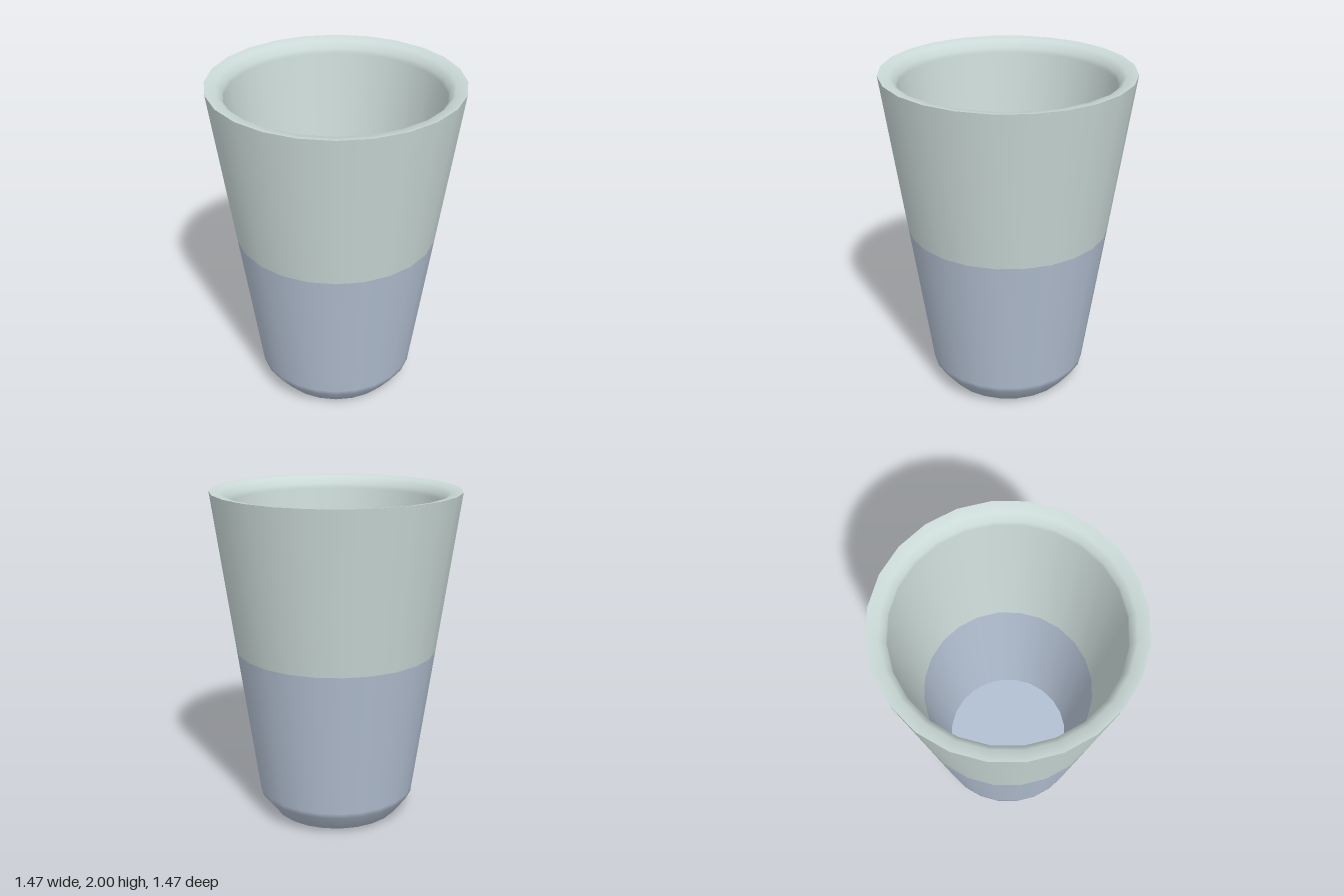
import * as THREE from 'three';

export function createModel() {
  const model = new THREE.Group();
  model.name = 'tumbler';
  const green = new THREE.MeshStandardMaterial({ name: 'pale sage', color: 0xcbdad7 });
  const blue = new THREE.MeshStandardMaterial({ name: 'pale slate blue', color: 0xb3c0d2 });

  // Each part is a 24-sided turned strip; separate strips keep sharp edges between them
  const turn = (name, material, profile) => {
    const points = profile.map(([r, y]) => new THREE.Vector2(r, y));
    const mesh = new THREE.Mesh(new THREE.LatheGeometry(points, 24), material);
    mesh.name = name;
    model.add(mesh);
  };

  const split = 1.05; // height of the colour change

  // Underside, rounded foot and lower outer wall
  turn('underside', blue, [[0, 0], [0.32, 0]]);
  turn('lowerOuterWall', blue, [[0.32, 0], [0.39, 0.02], [0.475, 0.13], [0.479, 0.16], [0.603, split]]);

  // Upper outer wall
  turn('upperOuterWall', green, [[0.603, split], [0.735, 2]]);

  // Rim rolling over into the upper inner wall
  turn('rimAndUpperInnerWall', green, [[0.735, 2], [0.67, 1.99], [0.635, 1.95], [0.631, 1.92], [0.51, split]]);

  // Lower inner wall and floor
  turn('lowerInnerWall', blue, [[0.51, split], [0.39, 0.18]]);
  turn('floor', blue, [[0.39, 0.18], [0, 0.18]]);

  return model;
}
